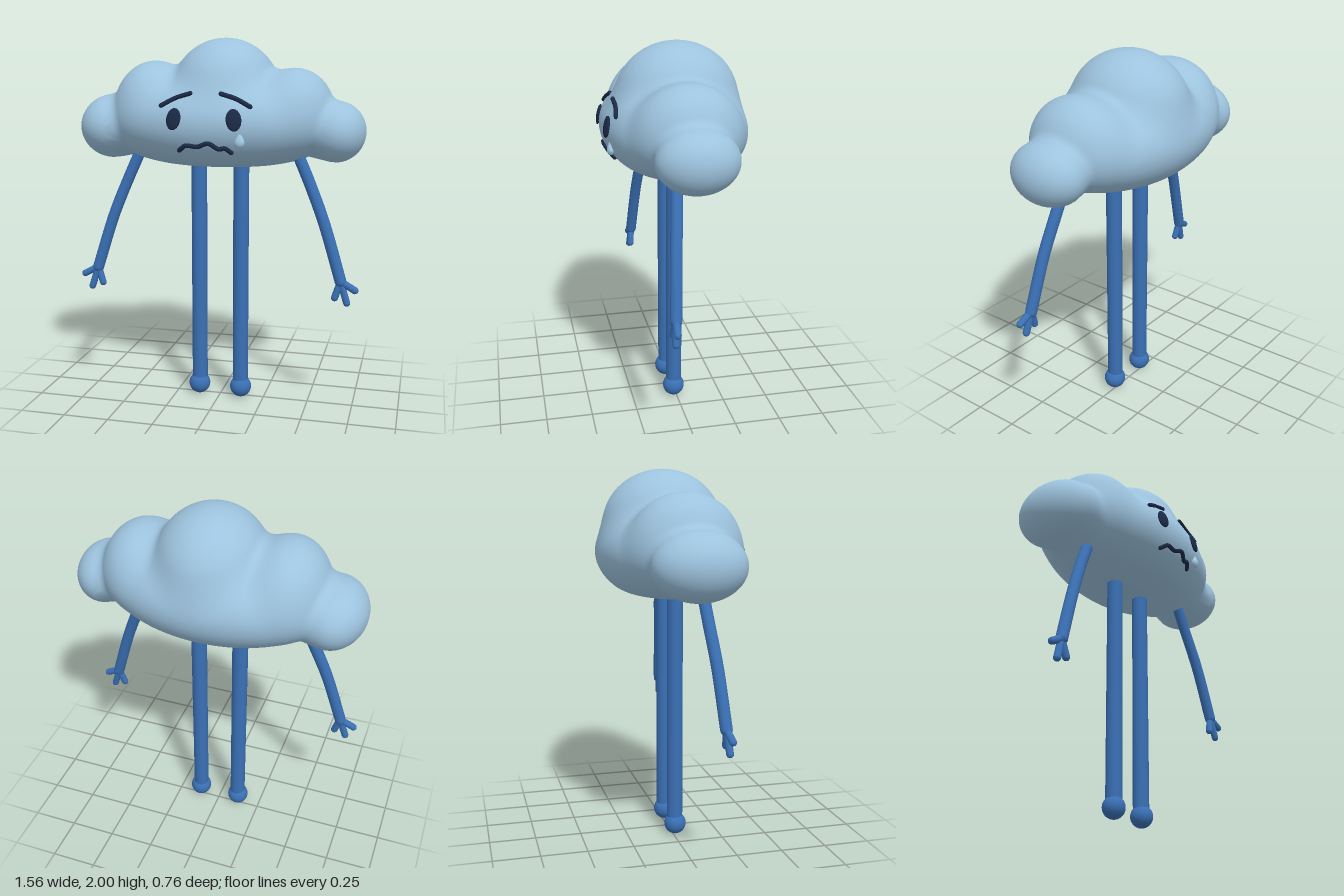
import * as THREE from 'three';
import { mergeVertices } from 'three/addons/utils/BufferGeometryUtils.js';

const V = (x, y, z) => new THREE.Vector3(x, y, z);
const material = (name, color) => {
  const m = new THREE.MeshStandardMaterial({ color });
  m.name = name;
  return m;
};

// Cloud puffs: centre, radii
const PUFFS = [
  [V(0, 1.56, 0), V(0.62, 0.27, 0.38)],
  [V(0.025, 1.7, -0.02), V(0.295, 0.3, 0.325)],
  [V(-0.36, 1.63, 0), V(0.22, 0.25, 0.28)],
  [V(0.4, 1.62, 0), V(0.21, 0.225, 0.26)],
];
const ENDS = [
  [V(-0.6, 1.525, 0.005), V(0.18, 0.175, 0.237)],
  [V(0.625, 1.517, 0.005), V(0.155, 0.16, 0.205)],
];

function ellipsoid(p, [c, r]) {
  const x = (p.x - c.x) / r.x, y = (p.y - c.y) / r.y, z = (p.z - c.z) / r.z;
  const k0 = Math.hypot(x, y, z);
  const k1 = Math.hypot(x / r.x, y / r.y, z / r.z) + 1e-9;
  return (k0 * (k0 - 1)) / k1;
}
function smin(a, b, k) {
  const h = Math.max(k - Math.abs(a - b), 0) / k;
  return Math.min(a, b) - h * h * k * 0.25;
}

// Distance to the blended cloud, with a softly flattened underside
function cloud(p) {
  let d = 9;
  for (const e of PUFFS) d = smin(d, ellipsoid(p, e), 0.06);
  d = -smin(-d, -(1.318 - p.y), 0.06);
  for (const e of ENDS) d = smin(d, ellipsoid(p, e), 0.045);
  return d;
}
function cloudNormal(p) {
  const e = 0.002;
  const g = (dx, dy, dz) => cloud(V(p.x + dx, p.y + dy, p.z + dz)) - cloud(V(p.x - dx, p.y - dy, p.z - dz));
  return V(g(e, 0, 0), g(0, e, 0), g(0, 0, e)).normalize();
}
// Outermost cloud surface point along a ray from an inside point
function surfaceAlong(origin, dir, far) {
  const p = V(), at = (t) => cloud(p.copy(origin).addScaledVector(dir, t));
  const step = far / 90;
  let t = far;
  while (t > 0 && at(t) > 0) t -= step;
  let a = t, b = t + step;
  for (let i = 0; i < 16; i++) {
    const m = (a + b) / 2;
    if (at(m) > 0) b = m; else a = m;
  }
  return origin.clone().addScaledVector(dir, a);
}
const onFront = (x, y, lift = 0) => {
  const p = surfaceAlong(V(x, y, 0), V(0, 0, 1), 0.6);
  return p.addScaledVector(cloudNormal(p), lift);
};

function cloudGeometry() {
  let g = new THREE.IcosahedronGeometry(1, 40);
  g.deleteAttribute('uv');
  g.deleteAttribute('normal');
  g = mergeVertices(g, 1e-5);
  const pos = g.attributes.position, normals = [], origin = V(0, 1.53, 0);
  for (let i = 0; i < pos.count; i++) {
    const dir = V().fromBufferAttribute(pos, i).multiply(V(2.4, 1, 1.1)).normalize();
    const p = surfaceAlong(origin, dir, 1);
    pos.setXYZ(i, p.x, p.y, p.z);
    normals.push(...cloudNormal(p).toArray());
  }
  g.setAttribute('normal', new THREE.Float32BufferAttribute(normals, 3));
  return g;
}

export function createModel() {
  const root = new THREE.Group();
  root.name = 'sadCloud';
  const sky = material('cloudBlue', 0x9dc3de);
  const limb = material('limbBlue', 0x3a70b5);
  const ink = material('navyInk', 0x1c2a47);
  const water = material('tearBlue', 0xa9d3ee);

  const add = (parent, name, geometry, mat, position) => {
    const m = new THREE.Mesh(geometry, mat);
    m.name = name;
    if (position) m.position.copy(position);
    parent.add(m);
    return m;
  };
  const capsule = (parent, name, a, b, r, mat) => {
    const d = b.clone().sub(a);
    const m = add(parent, name, new THREE.CapsuleGeometry(r, d.length(), 6, 16), mat, a.clone().lerp(b, 0.5));
    m.quaternion.setFromUnitVectors(V(0, 1, 0), d.normalize());
  };
  // Round-ended stroke that follows the cloud front
  const stroke = (name, pts, r) => {
    const flat = new THREE.CatmullRomCurve3(pts.map(([x, y]) => V(x, y, 0)));
    const path = flat.getPoints(24).map((p) => onFront(p.x, p.y, 0.004));
    const g = new THREE.Group();
    g.name = name;
    root.add(g);
    add(g, name + 'Line', new THREE.TubeGeometry(new THREE.CatmullRomCurve3(path), 40, r, 10), ink);
    for (const p of [path[0], path[path.length - 1]]) add(g, name + 'Tip', new THREE.SphereGeometry(r, 12, 8), ink, p);
  };

  add(root, 'cloudBody', cloudGeometry(), sky);

  for (const s of [-1, 1]) {
    const side = s > 0 ? 'left' : 'right';

    // Leg and round foot
    add(root, side + 'Leg', new THREE.CylinderGeometry(0.043, 0.043, 1.34, 24), limb, V(s * 0.118, 0.73, 0.012));
    add(root, side + 'Foot', new THREE.SphereGeometry(0.06, 24, 16), limb, V(s * 0.12, 0.06, 0.014));

    // Arm with a three-fingered hand
    const arm = new THREE.Group();
    arm.name = side + 'Arm';
    root.add(arm);
    const wrist = V(s * 0.68, 0.74, 0.12);
    const path = new THREE.CatmullRomCurve3([V(s * 0.42, 1.43, 0.065), V(s * 0.505, 1.24, 0.08), V(s * 0.585, 1.04, 0.1), wrist]);
    add(arm, 'armTube', new THREE.TubeGeometry(path, 24, 0.031, 18), limb);
    add(arm, 'wrist', new THREE.SphereGeometry(0.031, 18, 12), limb, wrist);
    for (const [x, y] of [[0.757, 0.698], [0.716, 0.627], [0.652, 0.652]]) {
      capsule(arm, 'finger', wrist, V(s * x, y, 0.128), 0.019, limb);
    }

    // Eye
    const at = onFront(s * 0.155, 1.595, 0.002);
    const eye = add(root, side + 'Eye', new THREE.SphereGeometry(1, 28, 18), ink, at);
    eye.scale.set(0.039, 0.056, 0.014);
    eye.quaternion.setFromUnitVectors(V(0, 0, 1), cloudNormal(at));
    eye.rotateZ(s * 0.12);

    // Worried eyebrow
    stroke(side + 'Eyebrow', [[s * 0.08, 1.72], [s * 0.155, 1.696], [s * 0.23, 1.658]], 0.012);
  }

  // Wavering mouth
  stroke('mouth', [[-0.135, 1.437], [-0.095, 1.464], [-0.035, 1.46], [0.025, 1.478], [0.075, 1.45], [0.105, 1.455], [0.135, 1.432]], 0.012);

  // Tear drop
  const drop = [[0, -0.03], [0.014, -0.027], [0.025, -0.014], [0.027, 0], [0.021, 0.017], [0.01, 0.038], [0, 0.056]];
  const tear = add(root, 'tear', new THREE.LatheGeometry(drop.map(([x, y]) => new THREE.Vector2(x, y)), 20), water, onFront(0.182, 1.487, 0.006));
  tear.scale.z = 0.7;

  return root;
}
